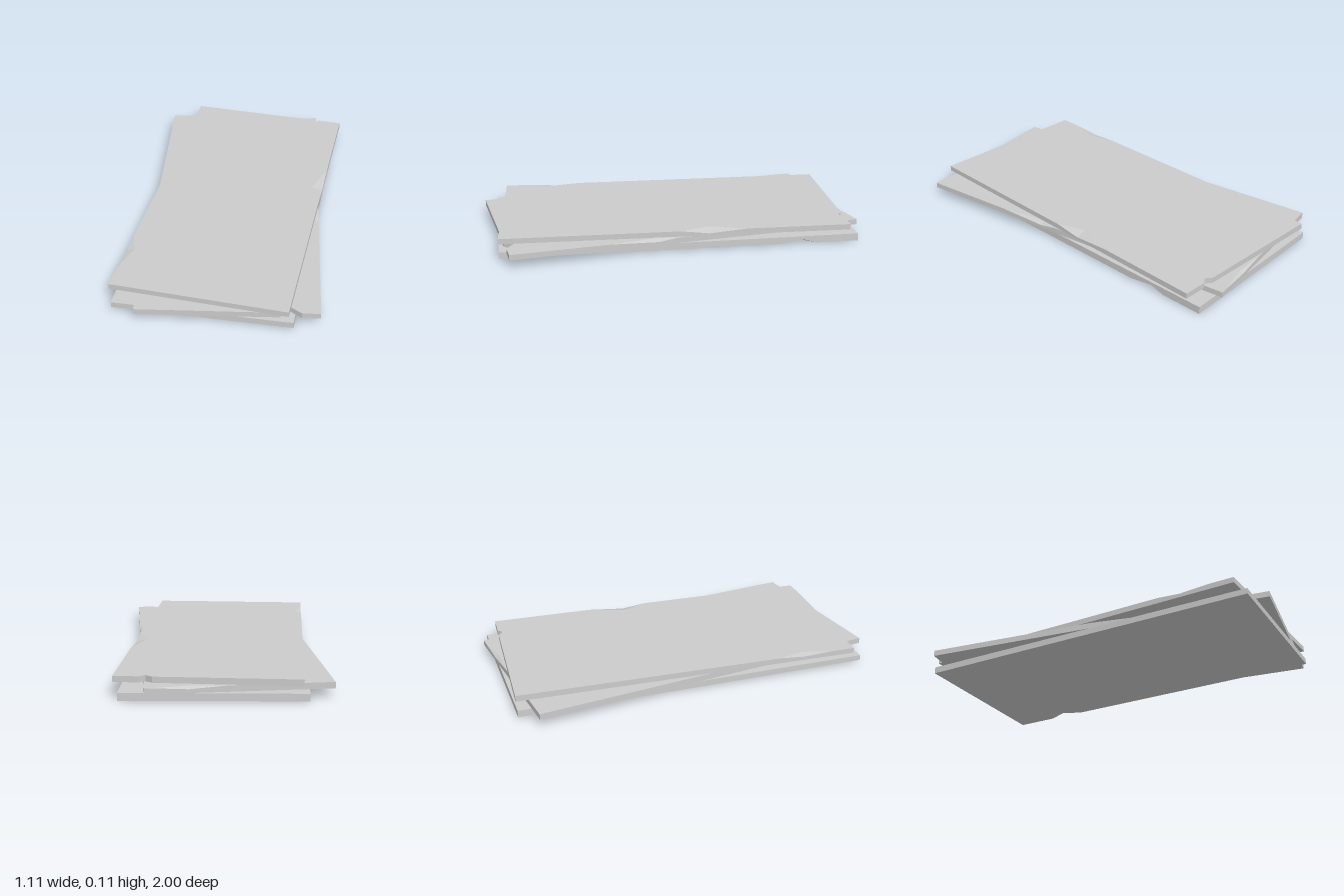
import * as THREE from 'three';

const material = new THREE.MeshStandardMaterial({ color: 0xcccccc, flatShading: true });

// A stone slab with chipped edges.
// corners: [x, z, bottomY, topY], front left first, counterclockwise from above.
// chips: edge number, start / middle / end along it, depth inward, height, and
// whether it breaks the top or the underside.
function slab(name, corners, chips) {
  // four outlines: underside, lower rim, upper rim, top face
  const loops = [[], [], [], []];
  const addPoint = (p, inward = [0, 0], chip = null) => {
    const [x, z, lo, hi] = p;
    const drop = chip ? Math.min(chip.drop, hi - lo) : 0;
    const through = chip && drop === hi - lo;
    const under = chip && chip.under;
    const shift = (on) => on ? [x + inward[0] * chip.depth, z + inward[1] * chip.depth] : [x, z];
    const put = (i, on, y) => {
      const [px, pz] = shift(on);
      loops[i].push(new THREE.Vector3(px, y, pz));
    };
    put(0, through || under, lo);
    put(1, through, under ? lo + drop : lo);
    put(2, through, chip && !under && !through ? hi - drop : hi);
    put(3, through || (chip && !under), hi);
  };

  corners.forEach((a, edge) => {
    const b = corners[(edge + 1) % 4];
    const dx = b[0] - a[0], dz = b[1] - a[1], length = Math.hypot(dx, dz);
    const inward = [dz / length, -dx / length];
    const at = (t) => a.map((v, k) => v + (b[k] - v) * t);
    addPoint(a);
    for (const chip of chips.filter((c) => c.edge === edge)) {
      addPoint(at(chip.t[0]));
      addPoint(at(chip.t[1]), inward, chip);
      addPoint(at(chip.t[2]));
    }
  });

  const positions = [];
  const triangle = (...points) => points.forEach((p) => positions.push(p.x, p.y, p.z));

  // side bands between neighbouring outlines
  const count = loops[0].length;
  for (let r = 0; r < 3; r++) {
    for (let i = 0; i < count; i++) {
      const j = (i + 1) % count, low = loops[r], high = loops[r + 1];
      triangle(low[i], low[j], high[j]);
      triangle(low[i], high[j], high[i]);
    }
  }

  // top face and underside
  for (const [loop, up] of [[loops[3], true], [loops[0], false]]) {
    const flat = loop.map((p) => new THREE.Vector2(p.x, -p.z));
    for (const [i, j, k] of THREE.ShapeUtils.triangulateShape(flat, [])) {
      if (up) triangle(loop[i], loop[j], loop[k]);
      else triangle(loop[i], loop[k], loop[j]);
    }
  }

  const geometry = new THREE.BufferGeometry();
  geometry.setAttribute('position', new THREE.Float32BufferAttribute(positions, 3));
  geometry.computeVertexNormals();
  const mesh = new THREE.Mesh(geometry, material);
  mesh.name = name;
  return mesh;
}

export function createModel() {
  const group = new THREE.Group();
  group.name = 'stackedSlabs';

  group.add(slab('bottomSlab', [
    [-0.535, 0.92, 0.012, 0.042], [0.38, 0.97, 0.009, 0.041],
    [0.525, -0.945, 0.0, 0.04], [-0.39, -1.0, 0.005, 0.042],
  ], [
    { edge: 1, t: [0.11, 0.2, 0.27], depth: 0.03, drop: 0.009 },
    { edge: 1, t: [0.77, 0.84, 0.88], depth: 0.06, drop: 0.022, under: true },
  ]));

  group.add(slab('middleSlab', [
    [-0.405, 0.995, 0.044, 0.074], [0.51, 0.925, 0.044, 0.073],
    [0.395, -0.99, 0.044, 0.074], [-0.52, -0.92, 0.044, 0.076],
  ], [
    { edge: 0, t: [0.78, 0.83, 0.9], depth: 0.05, drop: 1 },
    { edge: 1, t: [0.27, 0.41, 0.46], depth: 0.03, drop: 0.014 },
    { edge: 2, t: [0.02, 0.23, 0.43], depth: 0.02, drop: 0.012 },
    { edge: 3, t: [0.5, 0.62, 0.75], depth: 0.03, drop: 0.012 },
  ]));

  group.add(slab('topSlab', [
    [-0.555, 0.86, 0.079, 0.108], [0.355, 0.97, 0.077, 0.105],
    [0.55, -0.885, 0.077, 0.107], [-0.36, -1.0, 0.079, 0.112],
  ], [
    { edge: 1, t: [0.51, 0.59, 0.7], depth: 0.06, drop: 0.018 },
    { edge: 2, t: [0.14, 0.17, 0.21], depth: 0.025, drop: 1 },
    { edge: 3, t: [0.77, 0.84, 0.93], depth: 0.04, drop: 0.01 },
  ]));

  return group;
}
